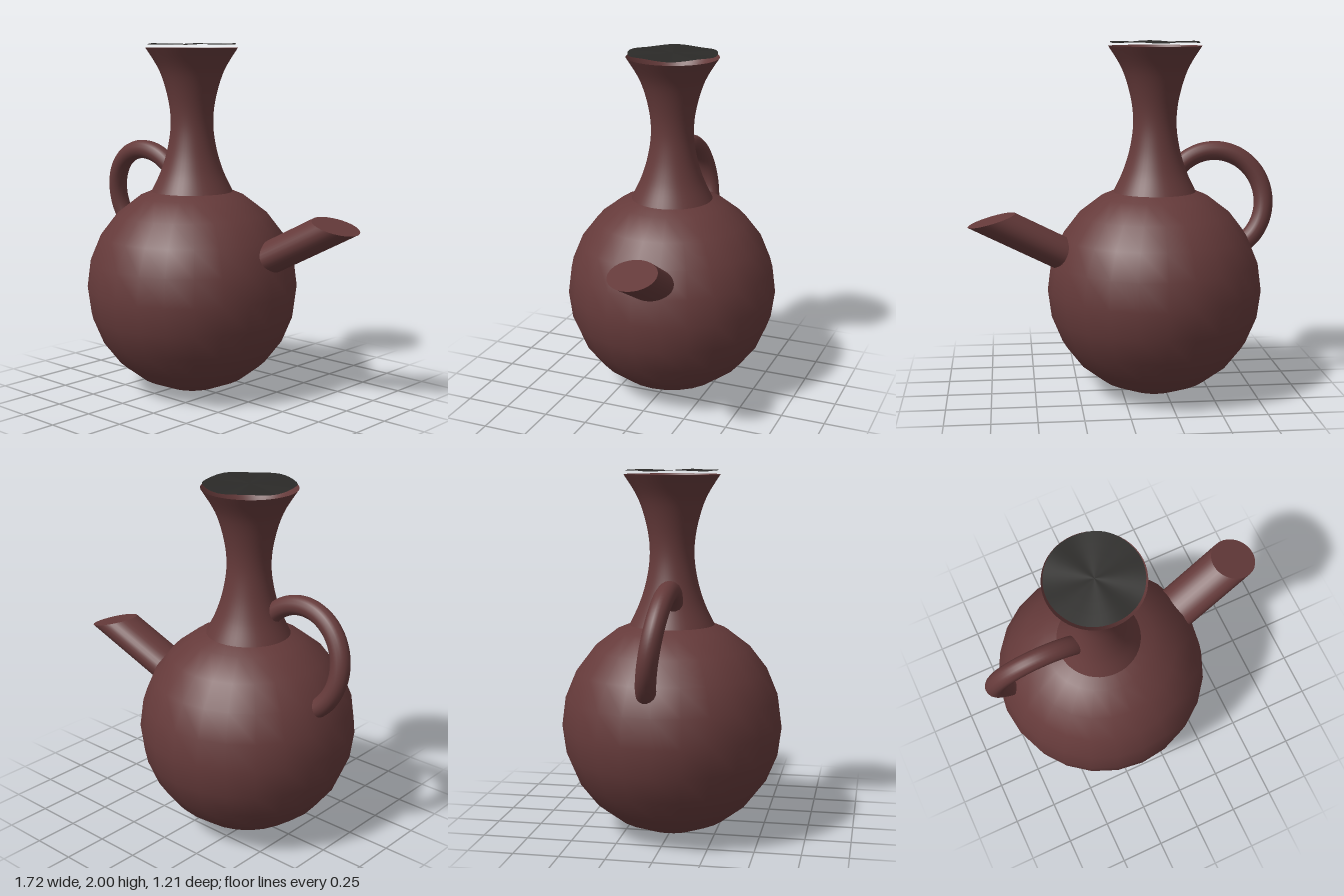
import * as THREE from 'three';

const CX = -0.185; // vertical axis of body and neck

export function createModel() {
  const group = new THREE.Group();
  const clay = new THREE.MeshStandardMaterial({ color: 0x653a3a });
  const clayThin = new THREE.MeshStandardMaterial({ color: 0x653a3a, side: THREE.DoubleSide });
  const dark = new THREE.MeshStandardMaterial({ color: 0x2b2a28, side: THREE.DoubleSide });

  const add = (name, geometry, material) => {
    const mesh = new THREE.Mesh(geometry, material);
    mesh.name = name;
    group.add(mesh);
    return mesh;
  };

  // Round body
  add('body', new THREE.SphereGeometry(0.607, 24, 12), clay).position.set(CX, 0.61, 0);

  // Flared neck, open at the top
  const profile = new THREE.SplineCurve([
    [0.232, 1.165], [0.178, 1.28], [0.139, 1.41], [0.121, 1.55],
    [0.135, 1.69], [0.182, 1.845], [0.26, 1.975],
  ].map(([r, y]) => new THREE.Vector2(r, y)));
  add('neck', new THREE.LatheGeometry(profile.getPoints(30), 48), clayThin).position.x = CX;

  // Dark, slightly rippled surface floating just above the rim
  const surface = new THREE.RingGeometry(0, 0.25, 48, 4).rotateX(-Math.PI / 2);
  const p = surface.attributes.position;
  for (let i = 0; i < p.count; i++) {
    const x = p.getX(i), z = p.getZ(i), a = Math.atan2(z, x);
    p.setY(i, 0.004 * Math.sin(5 * a) * Math.hypot(x, z) / 0.25);
  }
  surface.computeVertexNormals();
  add('mouthSurface', surface, dark).position.set(CX, 1.996, 0);

  // Handle: slightly tilted arc from neck to shoulder, with rounded ends
  const arc = [];
  for (let i = 0; i <= 16; i++) {
    const a = THREE.MathUtils.degToRad(38 + (236 - 38) * i / 16);
    const dy = 0.285 * Math.sin(a);
    arc.push(new THREE.Vector3(-0.53 + 0.28 * Math.cos(a), 1.1 + dy, 0.165 * dy));
  }
  add('handle', new THREE.TubeGeometry(new THREE.CatmullRomCurve3(arc), 48, 0.054, 16), clay);
  for (const end of [arc[0], arc[16]]) {
    add('handleEnd', new THREE.SphereGeometry(0.054, 16, 10), clay).position.copy(end);
  }

  // Spout: cylinder sheared along its slope, so the tip is cut almost level
  const L = 0.5;
  const shear = new THREE.Matrix4().set(
    1, L, 0, 0.73,
    -0.28, 0.53 * L, 0, 1.04,
    0, -0.165 * L, 1, -0.15,
    0, 0, 0, 1,
  );
  const spout = new THREE.CylinderGeometry(0.13, 0.13, 1, 32).translate(0, -0.5, 0);
  add('spout', spout.applyMatrix4(shear), clay);

  return group;
}
